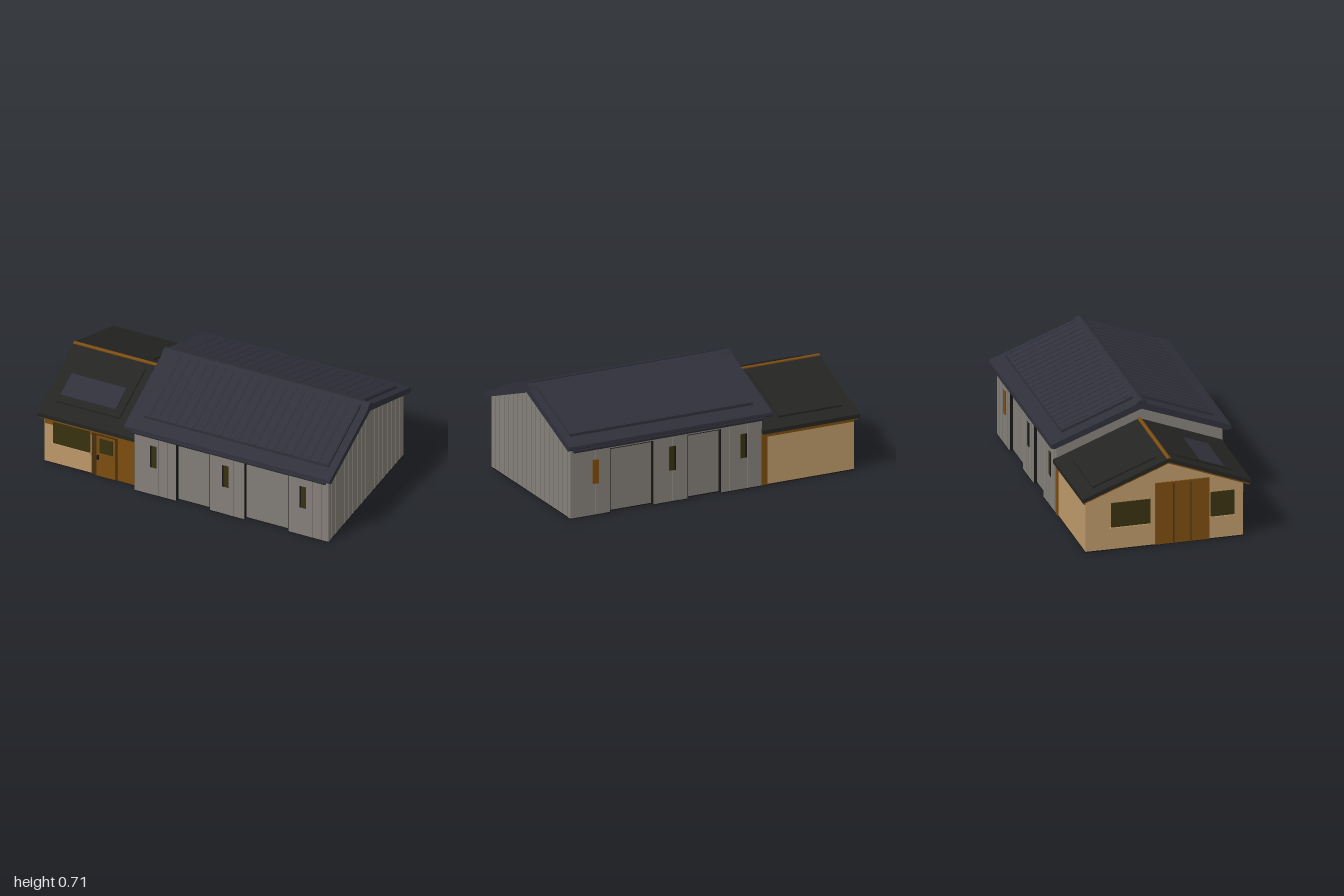
import * as THREE from 'three';

const material = (name, color) => {
  const m = new THREE.MeshStandardMaterial({ color });
  m.name = name;
  return m;
};

export function createModel() {
  const grey = material('greyCladding', 0x858079);
  const doorGrey = material('doorGrey', 0x827e78);
  const navy = material('navyRoof', 0x30303b);
  const charcoal = material('charcoalRoof', 0x242423);
  const tan = material('tanRender', 0xbd996a);
  const brown = material('brownTimber', 0x7c4d10);
  const darkBrown = material('darkTimber', 0x4a300f);
  const olive = material('oliveGlass', 0x38320f);
  const black = material('blackBase', 0x161618);

  const model = new THREE.Group();
  const group = (name) => {
    const g = new THREE.Group();
    g.name = name;
    model.add(g);
    return g;
  };
  const add = (parent, name, geometry, mat) => {
    const mesh = new THREE.Mesh(geometry, mat);
    mesh.name = name;
    parent.add(mesh);
    return mesh;
  };
  // Box given by its limits
  const box = (parent, name, mat, x0, x1, y0, y1, z0, z1) => {
    const mesh = add(parent, name, new THREE.BoxGeometry(x1 - x0, y1 - y0, z1 - z0), mat);
    mesh.position.set((x0 + x1) / 2, (y0 + y1) / 2, (z0 + z1) / 2);
    return mesh;
  };
  // A (z, y) profile swept along x
  const sweep = (parent, name, mat, points, x0, x1) => {
    const shape = new THREE.Shape(points.map(([z, y]) => new THREE.Vector2(-z, y)));
    const geometry = new THREE.ExtrudeGeometry(shape, { depth: x1 - x0, bevelEnabled: false });
    geometry.rotateY(Math.PI / 2).translate(x0, 0, 0);
    return add(parent, name, geometry, mat);
  };
  // Strip lying on one roof slope, between two heights above the slope line
  const SLOPE = 0.386;
  const strip = (parent, name, mat, ridge, side, z0, z1, low, high, x0, x1) => {
    const y = (z) => ridge - SLOPE * z;
    sweep(parent, name, mat, [
      [side * z0, y(z0) + low], [side * z1, y(z1) + low],
      [side * z1, y(z1) + high], [side * z0, y(z0) + high],
    ], x0, x1);
  };

  // Ground slab under both buildings
  const base = group('base');
  box(base, 'hallSlab', black, -0.34, 0.97, 0, 0.006, -0.497, 0.497);
  box(base, 'annexSlab', black, -0.97, -0.34, 0, 0.006, -0.52, 0.475);

  // Main hall: core with overhanging lintels, and piers between the recessed doors
  const hall = group('hall');
  sweep(hall, 'hallCore', grey, [
    [-0.495, 0.006], [-0.495, 0.415], [-0.525, 0.415], [-0.525, 0.465], [0, 0.665],
    [0.525, 0.465], [0.525, 0.415], [0.495, 0.415], [0.495, 0.006],
  ], -0.34, 0.97);
  const piers = [[-0.34, -0.06], [0.17, 0.40], [0.70, 0.97]];
  const doors = [[-0.06, 0.17], [0.40, 0.70]];
  for (const s of [-1, 1]) {
    const slab = (name, mat, x0, x1, y0, y1, a, b) =>
      box(hall, name, mat, x0, x1, y0, y1, Math.min(s * a, s * b), Math.max(s * a, s * b));
    for (const [x0, x1] of piers) {
      slab('pier', grey, x0, x1, 0.004, 0.415, 0.49, 0.525);
      slab('pierFoot', black, x0, x1, 0, 0.005, 0.49, 0.525);
      // Cladding ribs
      for (let x = x0 + 0.03; x < x1 - 0.02; x += 0.06)
        slab('wallRib', grey, x, x + 0.012, 0.008, 0.45, 0.52, 0.528);
    }
    for (const [x0, x1] of doors) {
      slab('garageDoor', doorGrey, x0 + 0.006, x1 - 0.006, 0.008, 0.408, 0.49, 0.502);
      for (const x of [x0, x1 - 0.006])
        slab('doorReveal', black, x, x + 0.006, 0.006, 0.412, 0.49, 0.521);
      slab('doorHead', black, x0, x1, 0.409, 0.415, 0.49, 0.521);
    }
    for (const x of [-0.21, 0.275, 0.80]) {
      const boarded = s < 0 && x > 0.7;
      slab('slitWindow', boarded ? brown : olive, x - 0.02, x + 0.02, 0.205, 0.36, 0.522, 0.53);
      slab('windowEdge', boarded ? brown : black, x - 0.022, x - 0.012, 0.205, 0.36, 0.523, 0.531);
    }
  }
  // Ribs on the right gable
  for (let i = -8; i <= 8; i++) {
    const z = i * 0.06;
    box(hall, 'gableRib', grey, 0.965, 0.973, 0.008, 0.655 - 0.381 * Math.abs(z), z - 0.006, z + 0.006);
  }

  // Hall roof with raised ribbed panels, ridge cap and gutters
  const hallRoof = group('hallRoof');
  sweep(hallRoof, 'roofShell', navy, [
    [-0.55, 0.452], [-0.57, 0.465], [-0.568, 0.483], [0, 0.70],
    [0.568, 0.483], [0.57, 0.465], [0.55, 0.452], [0, 0.657],
  ], -0.39, 1.0);
  sweep(hallRoof, 'ridgeCap', navy, [
    [-0.045, 0.68], [-0.02, 0.706], [0, 0.713], [0.02, 0.706], [0.045, 0.68],
  ], -0.39, 1.0);
  for (const s of [-1, 1]) {
    strip(hallRoof, 'roofPanel', navy, 0.70, s, 0.03, 0.48, -0.01, 0.019, -0.30, 0.95);
    for (let x = -0.27; x < 0.94; x += 0.06)
      strip(hallRoof, 'roofRib', navy, 0.70, s, 0.035, 0.475, 0.015, 0.022, x, x + 0.012);
    const gutter = add(hallRoof, 'gutter', new THREE.CylinderGeometry(0.016, 0.016, 1.3, 10), navy);
    gutter.rotation.z = Math.PI / 2;
    gutter.position.set(0.31, 0.448, s * 0.546);
  }

  // Annex walls
  const annex = group('annex');
  sweep(annex, 'annexWalls', tan, [
    [-0.52, 0.006], [-0.52, 0.345], [0, 0.54], [0.475, 0.36], [0.475, 0.006],
  ], -0.97, -0.33);
  // Front: timber entry, door and window
  box(annex, 'entryWall', brown, -0.65, -0.342, 0.006, 0.355, 0.47, 0.482);
  box(annex, 'frontFascia', brown, -0.965, -0.65, 0.285, 0.355, 0.47, 0.481);
  box(annex, 'frontWindow', olive, -0.91, -0.66, 0.155, 0.31, 0.476, 0.485);
  box(annex, 'windowSill', tan, -0.92, -0.655, 0.142, 0.156, 0.47, 0.49);
  box(annex, 'doorFrame', darkBrown, -0.645, -0.475, 0.008, 0.31, 0.476, 0.485);
  box(annex, 'frontDoor', brown, -0.612, -0.488, 0.008, 0.30, 0.48, 0.489);
  box(annex, 'doorGlass', olive, -0.592, -0.503, 0.18, 0.285, 0.483, 0.492);
  box(annex, 'doorHandle', black, -0.608, -0.596, 0.13, 0.16, 0.486, 0.497);
  box(annex, 'entryPost', brown, -0.45, -0.36, 0.02, 0.345, 0.48, 0.489);
  // Left gable: central timber panel flanked by windows
  box(annex, 'gablePanel', brown, -0.978, -0.965, 0.006, 0.41, -0.08, 0.26);
  for (const z of [0.035, 0.145])
    box(annex, 'panelJoint', darkBrown, -0.98, -0.972, 0.01, 0.40, z - 0.003, z + 0.003);
  for (const [z0, z1] of [[-0.36, -0.11], [0.27, 0.42]]) {
    box(annex, 'gableWindow', olive, -0.977, -0.969, 0.15, 0.31, z0, z1);
    box(annex, 'gableSill', tan, -0.985, -0.965, 0.137, 0.15, z0 - 0.01, z1);
  }
  // Back: timber border
  box(annex, 'backFascia', brown, -0.965, -0.34, 0.315, 0.345, -0.528, -0.515);
  box(annex, 'backPost', brown, -0.375, -0.335, 0.006, 0.345, -0.528, -0.515);

  // Annex roof with timber soffit and ridge strip
  const annexRoof = group('annexRoof');
  const pitched = (name, mat, top, thick, back, front, x0) => sweep(annexRoof, name, mat, [
    [-back, top - SLOPE * back], [0, top], [front, top - SLOPE * front],
    [front, top - SLOPE * front - thick], [0, top - thick], [-back, top - SLOPE * back - thick],
  ], x0, -0.335);
  pitched('annexRoofShell', charcoal, 0.575, 0.026, 0.545, 0.52, -1.0);
  pitched('annexSoffit', brown, 0.551, 0.014, 0.538, 0.512, -0.99);
  sweep(annexRoof, 'ridgeStrip', brown, [
    [-0.013, 0.566], [-0.011, 0.577], [0, 0.582], [0.011, 0.577], [0.013, 0.566],
  ], -1.0, -0.335);
  strip(annexRoof, 'frontPanel', charcoal, 0.575, 1, 0.06, 0.42, -0.01, 0.012, -0.92, -0.49);
  strip(annexRoof, 'backPanel', charcoal, 0.575, -1, 0.06, 0.46, -0.01, 0.012, -0.92, -0.49);
  strip(annexRoof, 'skylight', navy, 0.575, 1, 0.22, 0.375, 0.01, 0.016, -0.91, -0.54);

  return model;
}
